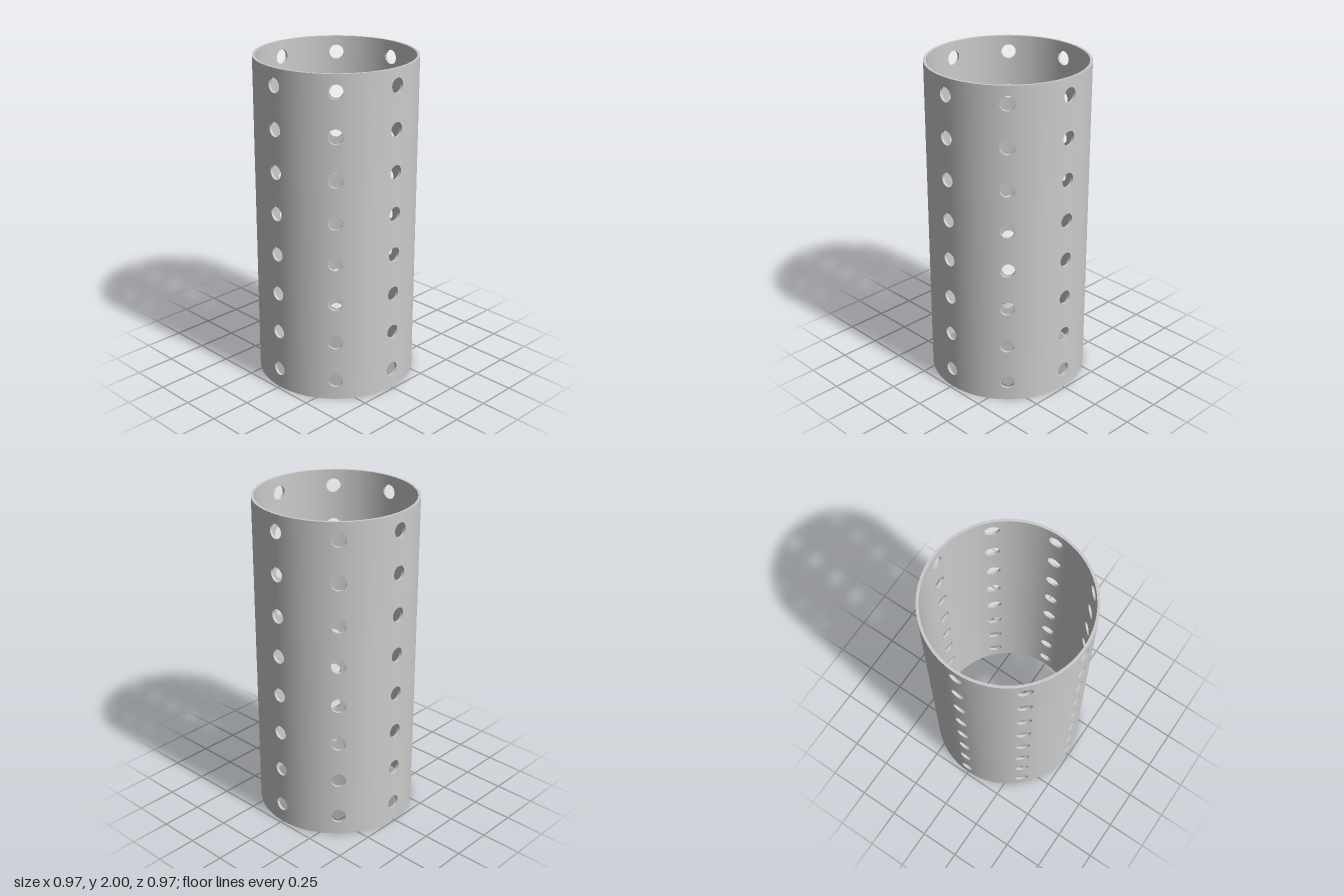
import * as THREE from 'three';

const R_OUT = 0.483, R_IN = 0.467, HEIGHT = 2;
const COLUMNS = 8, ROWS = 8, HOLE_R = 0.044;
const FIRST_ROW = 0.127, PITCH = 0.2533;
const SIDE = 8, POINTS = SIDE * 4, RINGS = 5;

// Collects quads with a normal per corner
function surface() {
  const pos = [], nor = [];
  return {
    quad(corners) {
      for (const k of [0, 1, 2, 0, 2, 3]) {
        pos.push(...corners[k].p);
        nor.push(...corners[k].n);
      }
    },
    mesh(name, material) {
      const g = new THREE.BufferGeometry();
      g.setAttribute('position', new THREE.Float32BufferAttribute(pos, 3));
      g.setAttribute('normal', new THREE.Float32BufferAttribute(nor, 3));
      const m = new THREE.Mesh(g, material);
      m.name = name;
      return m;
    },
  };
}

const holeAngle = (j) => -Math.PI / 4 + (j / POINTS) * Math.PI * 2;

// Point j on the border of a cell, counter-clockwise from the lower right corner
function border(j, y0, y1) {
  const w = Math.PI / COLUMNS;
  const side = Math.floor(j / SIDE) % 4, f = (j % SIDE) / SIDE;
  const across = w - 2 * w * f, up = y0 + (y1 - y0) * f;
  return [[w, up], [across, y1], [-w, y0 + y1 - up], [-across, y0]][side];
}

// Point on the tube wall: s = 0 on the hole edge, s = 1 on the cell border
function wallPoint(radius, cell, j, s, facing) {
  const t = holeAngle(j);
  const [bu, by] = border(j, cell.y0, cell.y1);
  const hu = Math.asin((HOLE_R * Math.cos(t)) / radius);
  const hy = cell.y + HOLE_R * Math.sin(t);
  const a = cell.angle + hu + (bu - hu) * s;
  return {
    p: [radius * Math.sin(a), hy + (by - hy) * s, radius * Math.cos(a)],
    n: [facing * Math.sin(a), 0, facing * Math.cos(a)],
  };
}

export function createModel() {
  const group = new THREE.Group();
  group.name = 'perforatedTube';
  const material = new THREE.MeshStandardMaterial({ color: 0xcccccc });
  const outer = surface(), inner = surface(), edges = surface();

  for (let c = 0; c < COLUMNS; c++) {
    for (let r = 0; r < ROWS; r++) {
      const y = FIRST_ROW + r * PITCH;
      const cell = {
        angle: (c / COLUMNS) * Math.PI * 2,
        y,
        y0: r === 0 ? 0 : y - PITCH / 2,
        y1: r === ROWS - 1 ? HEIGHT : y + PITCH / 2,
      };
      for (let j = 0; j < POINTS; j++) {
        // Wall skins around the hole
        for (let k = 0; k < RINGS; k++) {
          const s0 = k / RINGS, s1 = (k + 1) / RINGS;
          const ring = (radius, f) => [[j, s0], [j, s1], [j + 1, s1], [j + 1, s0]]
            .map(([i, s]) => wallPoint(radius, cell, i, s, f));
          outer.quad(ring(R_OUT, 1));
          inner.quad(ring(R_IN, -1).reverse());
        }
        // Straight drilled edge through the wall
        edges.quad([[R_OUT, j], [R_OUT, j + 1], [R_IN, j + 1], [R_IN, j]].map(([radius, i]) => {
          const t = holeAngle(i), x = -Math.cos(t);
          return {
            p: wallPoint(radius, cell, i, 0, 1).p,
            n: [x * Math.cos(cell.angle), -Math.sin(t), -x * Math.sin(cell.angle)],
          };
        }));
      }
    }
  }
  group.add(
    outer.mesh('outerWall', material),
    inner.mesh('innerWall', material),
    edges.mesh('holeEdges', material),
  );

  // Flat end rims
  const rimGeometry = new THREE.RingGeometry(R_IN, R_OUT, COLUMNS * SIDE, 1);
  for (const [name, y, tilt] of [['topRim', HEIGHT, -1], ['bottomRim', 0, 1]]) {
    const rim = new THREE.Mesh(rimGeometry, material);
    rim.name = name;
    rim.rotation.x = (tilt * Math.PI) / 2;
    rim.position.y = y;
    group.add(rim);
  }
  return group;
}
